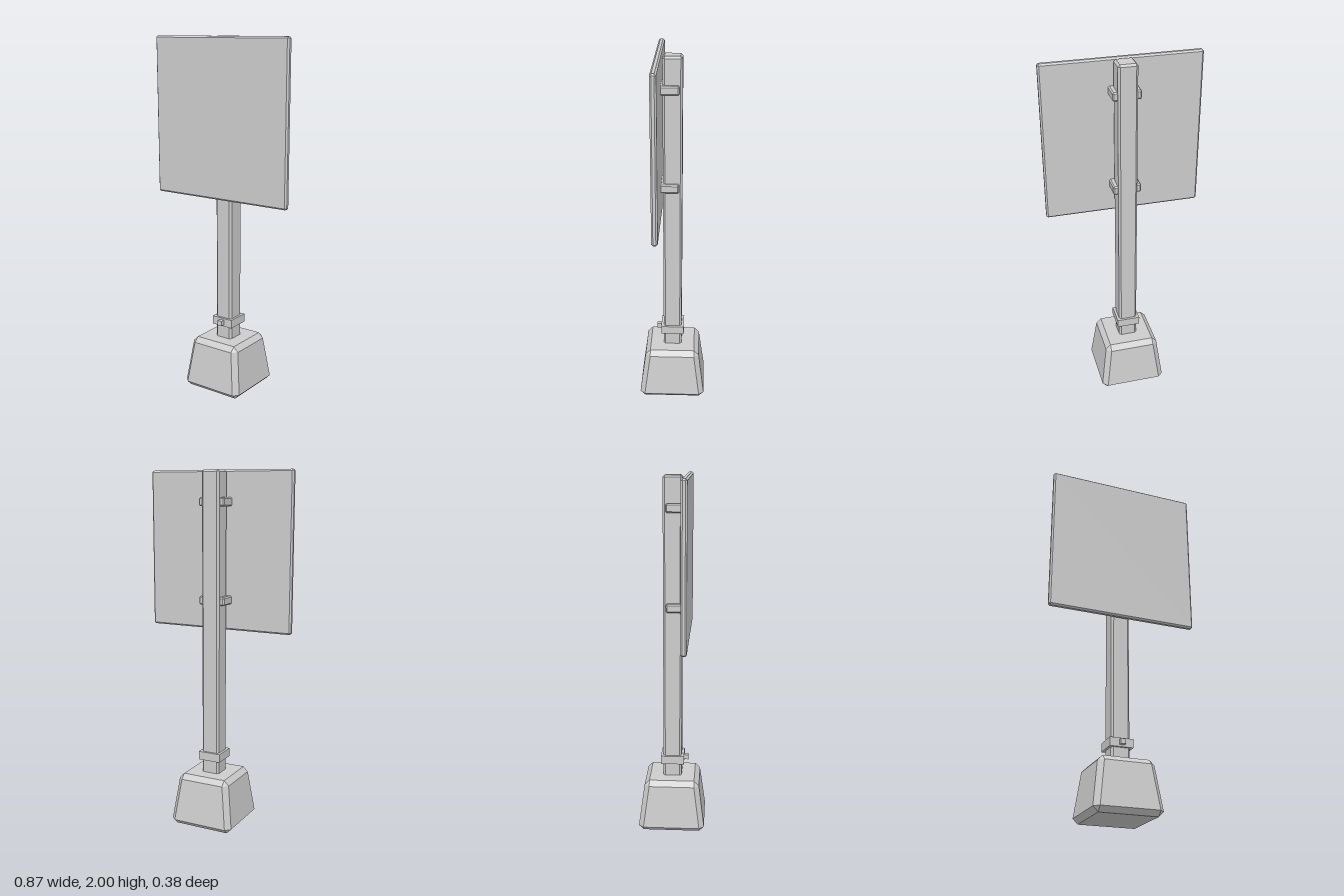
import * as THREE from 'three';

// Box with chamfered edges and corners; the sides may taper from hw0/hd0 (bottom) to hw1/hd1 (top)
function chamferBox(hw0, hd0, hw1, hd1, height, c) {
  const ring = (hw, hd, y, cut) => [
    [hw, hd - cut], [hw - cut, hd], [cut - hw, hd], [-hw, hd - cut],
    [-hw, cut - hd], [cut - hw, -hd], [hw - cut, -hd], [hw, cut - hd],
  ].map(([x, z]) => [x, y, z]);
  // cap rings collapse their corner pairs so that each end is a plain rectangle
  const cap = (hw, hd, y) => [[1, 1], [1, 1], [-1, 1], [-1, 1], [-1, -1], [-1, -1], [1, -1], [1, -1]]
    .map(([sx, sz]) => [sx * (hw - c), y, sz * (hd - c)]);
  const rings = [cap(hw0, hd0, 0), ring(hw0, hd0, c, c), ring(hw1, hd1, height - c, c), cap(hw1, hd1, height)];
  const pos = [];
  const tri = (a, b, d) => {
    const same = (p, q) => p.every((v, i) => v === q[i]);
    if (!same(a, b) && !same(b, d) && !same(a, d)) pos.push(...a, ...b, ...d);
  };
  for (let r = 0; r < 3; r++) {
    for (let i = 0; i < 8; i++) {
      const j = (i + 1) % 8;
      const [a, b, d, e] = [rings[r][i], rings[r][j], rings[r + 1][j], rings[r + 1][i]];
      tri(a, e, d);
      tri(a, d, b);
    }
  }
  const [bot, top] = [rings[0], rings[3]];
  tri(bot[0], bot[2], bot[4]);
  tri(bot[0], bot[4], bot[6]);
  tri(top[0], top[4], top[2]);
  tri(top[0], top[6], top[4]);
  const g = new THREE.BufferGeometry();
  g.setAttribute('position', new THREE.Float32BufferAttribute(pos, 3));
  g.computeVertexNormals();
  return g;
}

export function createModel() {
  const model = new THREE.Group();
  model.name = 'signPost';
  const grey = new THREE.MeshStandardMaterial({ color: 0xcccccc });
  grey.name = 'plainGrey';

  const add = (name, geometry, x, y, z) => {
    const mesh = new THREE.Mesh(geometry, grey);
    mesh.name = name;
    mesh.position.set(x, y, z);
    model.add(mesh);
  };
  const straight = (w, h, d, c) => chamferBox(w / 2, d / 2, w / 2, d / 2, h, c);

  // Tapered foot block and square post
  add('base', chamferBox(0.188, 0.188, 0.156, 0.156, 0.297, 0.028), 0, 0, 0);
  add('post', straight(0.105, 1.9, 0.105, 0.011), 0, 0.1, 0);

  // Collar around the post with its locking bolt
  add('collar', new THREE.BoxGeometry(0.132, 0.048, 0.132), 0, 0.396, 0);
  add('collarBolt', new THREE.BoxGeometry(0.028, 0.028, 0.05), 0, 0.396, 0.066);

  // Sign panel and the two brackets that carry it
  add('signPanel', straight(0.865, 0.88, 0.033, 0.009), 0, 1.12, 0.078);
  for (const y of [1.268, 1.806]) {
    add('bracket', straight(0.155, 0.048, 0.105, 0.007), 0, y, 0.017);
  }
  return model;
}
